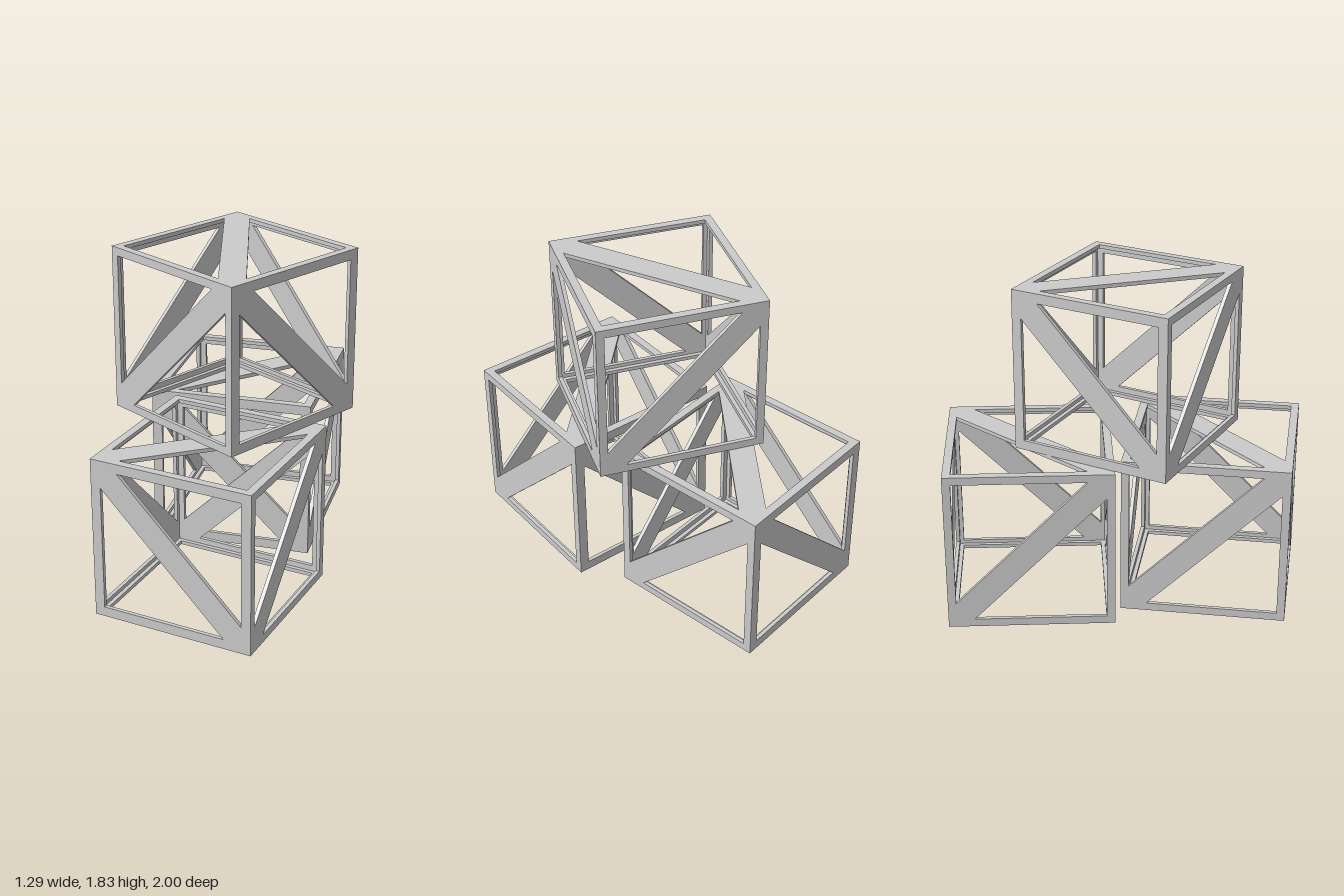
import * as THREE from 'three';

const SIDE = 0.917;      // edge length of each crate
const PLATE = 0.022;     // thickness of every face frame
const BRACE = 0.1;       // brace half-width, measured along the frame

const material = new THREE.MeshStandardMaterial({ color: 0xcccccc });

function polygon(Type, points) {
  return new Type(points.map(([x, y]) => new THREE.Vector2(x, y)));
}

// Square face frame; brace = 1 runs "/", -1 runs "\", 0 leaves it open.
// The outer surface lies at z = SIDE / 2.
function faceGeometry(bar, brace) {
  const r = SIDE / 2, h = r - bar, d = BRACE;
  const shape = polygon(THREE.Shape, [[-r, -r], [r, -r], [r, r], [-r, r]]);
  if (brace === 0) {
    shape.holes.push(polygon(THREE.Path, [[-h, -h], [-h, h], [h, h], [h, -h]]));
  } else {
    const m = brace;
    shape.holes.push(
      polygon(THREE.Path, [[-h * m, -h + d], [(h - d) * m, h], [-h * m, h]]),
      polygon(THREE.Path, [[h * m, h - d], [(-h + d) * m, -h], [h * m, -h]])
    );
  }
  const geometry = new THREE.ExtrudeGeometry(shape, { depth: PLATE, bevelEnabled: false });
  return geometry.translate(0, 0, r - PLATE);
}

// Face name, bar width, brace direction, rotation about x and y
const FACES = [
  ['frontFrame', 0.055, -1, 0, 0],
  ['backFrame', 0.055, -1, 0, Math.PI],
  ['leftFrame', 0.045, 1, 0, Math.PI / 2],
  ['rightFrame', 0.045, 1, 0, -Math.PI / 2],
  ['topFrame', 0.045, 1, -Math.PI / 2, 0],
  ['bottomFrame', 0.045, 0, Math.PI / 2, 0],
];

function createCrate(name) {
  const crate = new THREE.Group();
  crate.name = name;
  for (const [faceName, bar, brace, rx, ry] of FACES) {
    const face = new THREE.Mesh(faceGeometry(bar, brace), material);
    face.name = faceName;
    face.rotation.set(rx, ry, 0);
    crate.add(face);
  }
  return crate;
}

export function createModel() {
  const model = new THREE.Group();
  model.name = 'crateStack';
  // Name, centre x, level, centre z, turn about y
  const crates = [
    ['frontCrate', 0.15, 0, 0.541, 0],
    ['backCrate', -0.105, 0, -0.463, 0.196],
    ['upperCrate', 0.055, 1, 0.075, Math.PI / 2 - 0.346],
  ];
  for (const [name, x, level, z, turn] of crates) {
    const crate = createCrate(name);
    crate.position.set(x, SIDE * (level + 0.5), z);
    crate.rotation.y = turn;
    model.add(crate);
  }
  return model;
}
